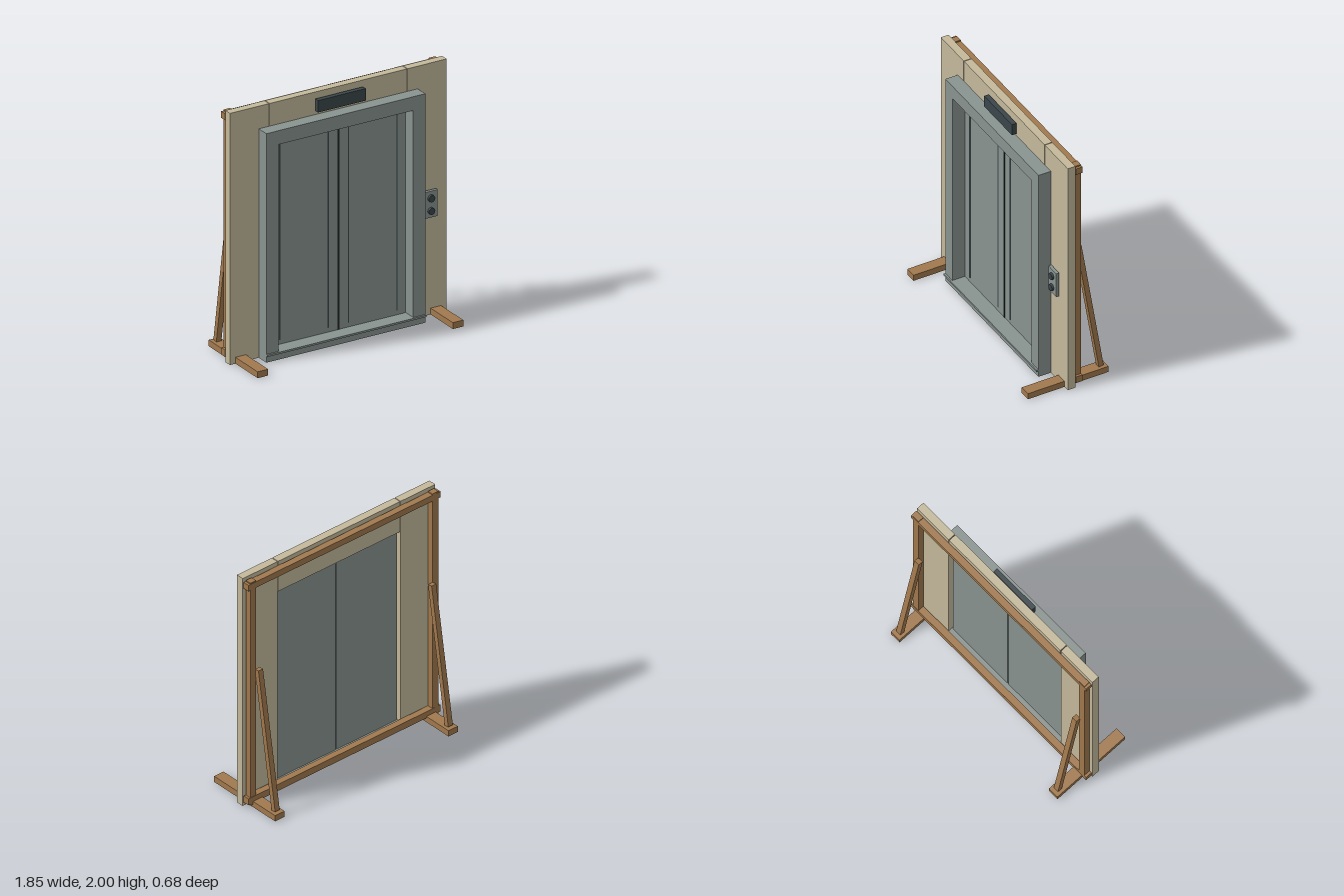
import * as THREE from 'three';

const mat = (color) => new THREE.MeshStandardMaterial({ color });

export function createModel() {
  const model = new THREE.Group();
  const plaster = mat(0xc4b99b), steel = mat(0x89938f), wood = mat(0xa1794e);
  const dark = mat(0x3b464a), black = mat(0x1f2626);

  // Box given by its extents along x, y and z
  function box(name, material, [x0, x1], [y0, y1], [z0, z1]) {
    const mesh = new THREE.Mesh(new THREE.BoxGeometry(x1 - x0, y1 - y0, z1 - z0), material);
    mesh.position.set((x0 + x1) / 2, (y0 + y1) / 2, (z0 + z1) / 2);
    mesh.name = name;
    model.add(mesh);
    return mesh;
  }
  // The same box on both sides of x = 0
  function pair(name, material, [x0, x1], y, z) {
    return [
      box(name + 'Left', material, [x0, x1], y, z),
      box(name + 'Right', material, [-x1, -x0], y, z),
    ];
  }

  // Wall: two side panels and a lintel, with narrow joints between
  const wallZ = [-0.033, 0.031];
  pair('wallPanel', plaster, [0.593, 0.927], [0, 2], wallZ);
  box('wallLintel', plaster, [-0.587, 0.587], [1.735, 2], wallZ);

  // Door surround: a rectangular frame with an opening, standing proud of the wall
  const outline = new THREE.Shape([
    new THREE.Vector2(-0.68, 0), new THREE.Vector2(0.68, 0),
    new THREE.Vector2(0.68, 1.82), new THREE.Vector2(-0.68, 1.82),
  ]);
  outline.holes.push(new THREE.Path([
    new THREE.Vector2(-0.577, 0.06), new THREE.Vector2(-0.577, 1.71),
    new THREE.Vector2(0.577, 1.71), new THREE.Vector2(0.577, 0.06),
  ]));
  const surround = new THREE.Mesh(
    new THREE.ExtrudeGeometry(outline, { depth: 0.104, bevelEnabled: false }), steel);
  surround.position.z = 0.031;
  surround.name = 'doorSurround';
  model.add(surround);
  box('sill', steel, [-0.68, 0.68], [0.05, 0.065], [-0.042, 0.15]);

  // Sliding doors with vertical grooves and a dark seal where they meet
  pair('door', steel, [0.006, 0.583], [0.065, 1.715], [0, 0.0305]);
  box('doorSeal', black, [-0.008, 0.008], [0.065, 1.71], [0.012, 0.034]);
  for (const x of [0.087, 0.502]) {
    pair('doorGroove', dark, [x - 0.005, x + 0.005], [0.1, 1.675], [0.028, 0.034]);
  }

  // Floor display above the doors
  box('floorDisplay', dark, [-0.205, 0.203], [1.858, 1.953], [0.045, 0.083]);

  // Call panel with two round buttons
  box('callPanel', steel, [0.71, 0.826], [0.79, 1], [0.045, 0.07]);
  for (const y of [0.845, 0.945]) {
    const button = new THREE.Mesh(new THREE.CylinderGeometry(0.027, 0.027, 0.02, 24), dark);
    button.rotation.x = Math.PI / 2;
    button.position.set(0.768, y, 0.078);
    button.name = 'callButton';
    model.add(button);
  }

  // Timber support behind the wall
  pair('post', wood, [0.85, 0.905], [0.022, 1.98], [-0.092, -0.043]);
  box('topRail', wood, [-0.925, 0.925], [1.918, 1.97], [-0.094, -0.041]);
  box('bottomRail', wood, [-0.925, 0.925], [0.036, 0.092], [-0.094, -0.041]);
  pair('foot', wood, [0.79, 0.88], [0, 0.05], [-0.338, 0.338]);

  // Leaning braces from the feet up to the posts
  const lean = Math.atan2(0.185, 1.145);
  const braces = pair('brace', wood, [0.812, 0.856], [0.05, 1.21], [-0.218, -0.178]);
  for (const brace of braces) {
    brace.position.y = 0.628;
    brace.rotation.x = lean;
  }

  return model;
}
